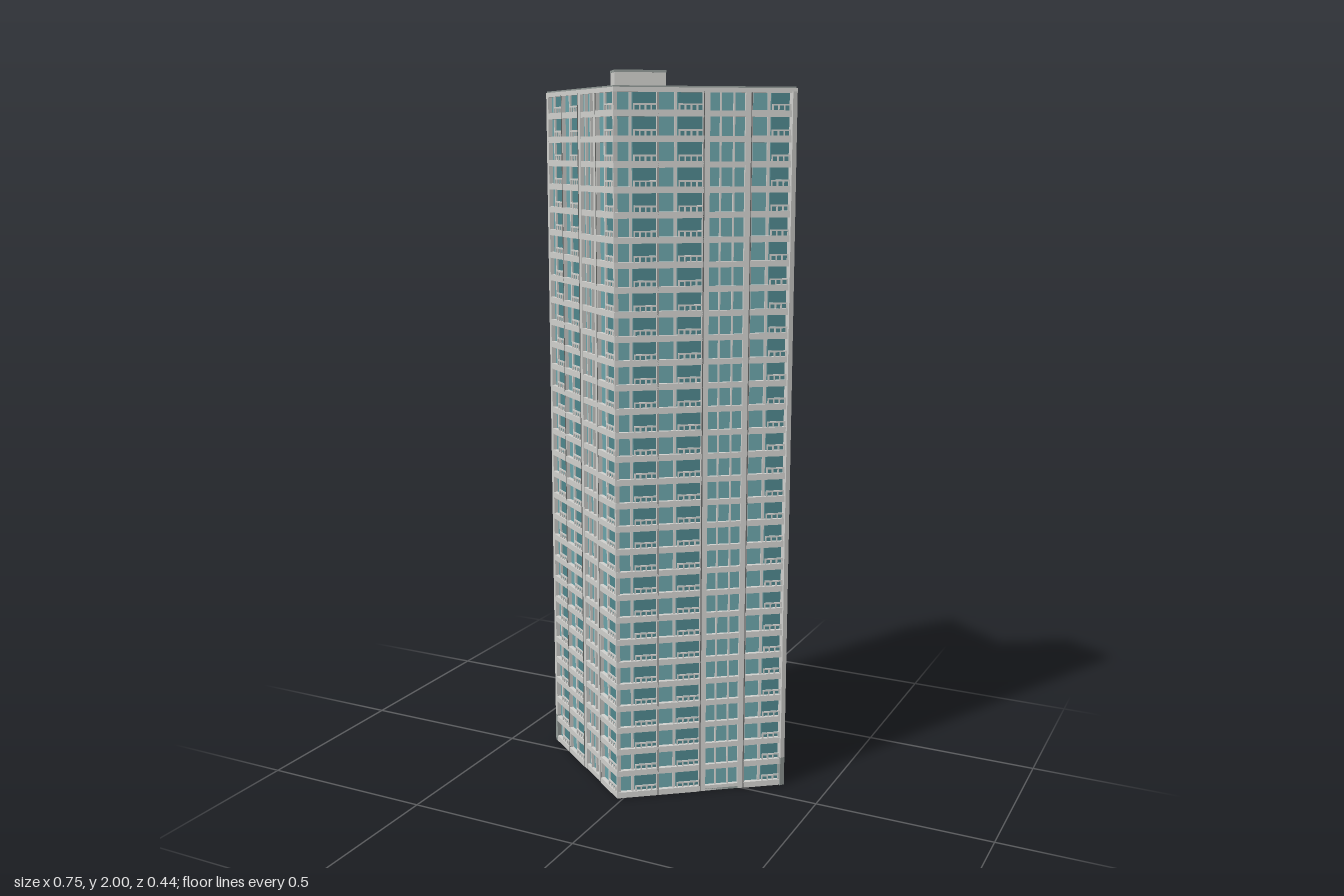
import * as THREE from 'three';
import { mergeGeometries } from 'three/addons/utils/BufferGeometryUtils.js';

const mat = (name, color) => {
  const m = new THREE.MeshStandardMaterial({ color });
  m.name = name;
  return m;
};

const FLOORS = 30, TOP = 1.945, H = TOP / FLOORS, DEPTH = 0.012;

// Footprint corners (x, z), walked left to right as seen from outside
const A = [-0.375, -0.058], F = [-0.015, 0.218], E = [0.375, -0.075];
const D = [0.2, -0.192], C = [-0.015, -0.045], B = [-0.25, -0.22];
const PLAN = [A, F, E, D, C, B];

// Bays as [kind, start, end] along a facade
const FRONT_BAYS = [['balcony', 0, 0.24], ['balcony', 0.24, 0.49], ['window', 0.49, 0.75], ['balcony', 0.75, 1]];
const BACK_BAYS_D = [['balcony', 0, 0.47], ['window', 0.47, 1]];
const BACK_BAYS_C = [['balcony', 0, 0.36], ['window', 0.36, 0.66], ['balcony', 0.66, 1]];

export function createModel() {
  const wall = mat('pale concrete', 0xcfcfcc);
  const glass = mat('teal glass', 0x6ba3a9);
  const darkGlass = mat('deep teal glass', 0x4f868c);
  const grey = mat('grey roofing', 0x929a97);
  const dark = mat('dark joint', 0x666866);

  const model = new THREE.Group();
  model.name = 'apartmentTower';
  const add = (parent, name, geometry, material) => {
    const mesh = new THREE.Mesh(geometry, material);
    mesh.name = name;
    parent.add(mesh);
    return mesh;
  };
  const box = (x0, x1, y0, y1, z0, z1) =>
    new THREE.BoxGeometry(x1 - x0, y1 - y0, z1 - z0)
      .translate((x0 + x1) / 2, (y0 + y1) / 2, (z0 + z1) / 2);

  // Plan outline moved inward by t
  const inset = (t) => PLAN.map((p, i) => {
    const q = PLAN[(i + 5) % 6], r = PLAN[(i + 1) % 6];
    const normal = (a, b) => {
      const l = Math.hypot(b[0] - a[0], b[1] - a[1]);
      return [-(b[1] - a[1]) / l, (b[0] - a[0]) / l];
    };
    const n = normal(q, p), m = normal(p, r);
    const k = t / (1 + n[0] * m[0] + n[1] * m[1]);
    return [p[0] - k * (n[0] + m[0]), p[1] - k * (n[1] + m[1])];
  });
  const prism = (t, y0, y1) => {
    const shape = new THREE.Shape(inset(t).map(([x, z]) => new THREE.Vector2(x, -z)));
    return new THREE.ExtrudeGeometry(shape, { depth: y1 - y0, bevelEnabled: false })
      .rotateX(-Math.PI / 2).translate(0, y0, 0);
  };

  // Glazed core, ground slab and roof
  add(model, 'glazedCore', prism(DEPTH, 0.004, TOP), glass);
  add(model, 'groundSlab', prism(0.002, 0, 0.006), grey);
  add(model, 'roofEdge', prism(0, TOP - 0.004, 1.953), wall);
  add(model, 'roofSlab', prism(0.002, 1.95, 1.957), grey);

  // Group whose local x runs from a to b and whose z points outward
  const side = (name, a, b) => {
    const g = new THREE.Group();
    g.name = name;
    g.position.set(a[0], 0, a[1]);
    g.rotation.y = Math.atan2(-(b[1] - a[1]), b[0] - a[0]);
    model.add(g);
    return [g, Math.hypot(b[0] - a[0], b[1] - a[1])];
  };

  const facade = (name, a, b, bays) => {
    const [g, L] = side(name, a, b);
    const concrete = [], doors = [], joints = [];

    for (const [kind, s, e] of bays) {
      const u0 = s * L, u1 = e * L, w = u1 - u0;
      const isBalcony = kind === 'balcony';
      const edge = isBalcony ? 0.003 : 0.016;

      // Full-height columns and fins at the bay edges
      concrete.push(box(u0, u0 + edge, 0, TOP, -DEPTH, -0.001));
      concrete.push(box(u1 - edge, u1, 0, TOP, -DEPTH, -0.001));
      if (s > 0) joints.push(box(u0 - 0.0015, u0 + 0.0015, 0, TOP, -DEPTH, 0));

      for (let i = 0; i < FLOORS; i++) {
        const y = i * H;
        if (isBalcony) {
          // Slab edge, parapet, rail posts and window mullions
          concrete.push(box(u0, u1, y, y + H * 0.26, -DEPTH, 0));
          concrete.push(box(u0 + w * 0.45, u1, y + H * 0.44, y + H * 0.51, -0.005, -0.002));
          for (const k of [0.45, 0.58, 0.71, 0.84])
            concrete.push(box(u0 + w * k, u0 + w * k + 0.004, y + H * 0.2, y + H * 0.5, -0.005, -0.002));
          concrete.push(box(u0 + w * 0.36, u0 + w * 0.42, y, y + H, -DEPTH, -0.006));
          // Recessed balcony doors
          doors.push(box(u0 + w * 0.45, u1 - edge, y + H * 0.26, y + H, -DEPTH, -DEPTH + 0.002));
        } else {
          // Spandrel and window mullions
          concrete.push(box(u0, u1, y, y + H * 0.24, -DEPTH, -0.002));
          for (const k of [0.36, 0.64])
            concrete.push(box(u0 + w * k - 0.002, u0 + w * k + 0.002, y, y + H, -DEPTH, -0.004));
        }
      }
    }
    add(g, name + 'Concrete', mergeGeometries(concrete), wall);
    add(g, name + 'Doors', mergeGeometries(doors), darkGlass);
    if (joints.length) add(g, name + 'Joints', mergeGeometries(joints), dark);
  };
  facade('frontRightWing', A, F, FRONT_BAYS);
  facade('frontLeftWing', F, E, FRONT_BAYS);
  facade('backLeftWing', D, C, BACK_BAYS_D);
  facade('backRightWing', C, B, BACK_BAYS_C);

  // Solid end walls with a grey base
  const endWall = (name, a, b, seam) => {
    const [g, L] = side(name, a, b);
    add(g, name + 'Panel', box(0, L, 0.085, TOP, -0.014, 0), wall);
    add(g, name + 'Base', box(0, L, 0, 0.085, -0.014, 0), grey);
    if (seam) add(g, name + 'Seam', box(L * 0.5 - 0.0015, L * 0.5 + 0.0015, 0.085, TOP, -0.001, 0.001), dark);
  };
  endWall('leftEndWall', E, D, false);
  endWall('rightEndWall', B, A, true);

  // Rooftop plant room with a thin cap
  const plant = new THREE.Group();
  plant.name = 'plantRoom';
  plant.position.set(-0.017, 0, 0.073);
  plant.rotation.y = Math.atan2(0.083, 0.11);
  model.add(plant);
  add(plant, 'plantRoomWalls', box(-0.068, 0.068, 1.955, 1.994, -0.035, 0.035), wall);
  add(plant, 'plantRoomCap', box(-0.069, 0.069, 1.994, 2, -0.036, 0.036), grey);

  return model;
}
